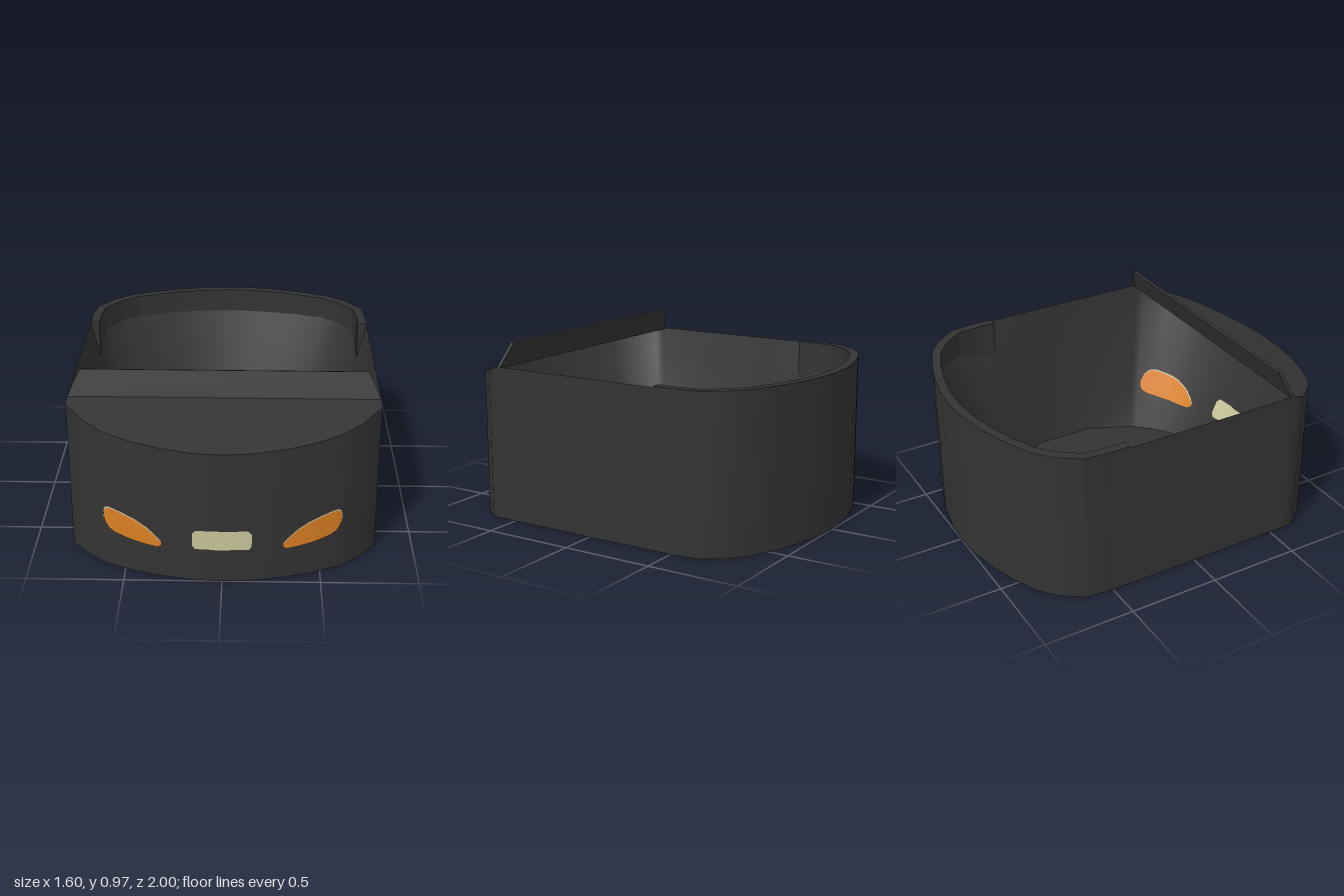
import * as THREE from 'three';

const mat = (name, color) => {
  const m = new THREE.MeshStandardMaterial({ color, side: THREE.DoubleSide });
  m.name = name;
  return m;
};

// Half plan outline [x, z], from front centre round to back centre
const HALF = [
  [0, 1], [0.15, 0.99], [0.32, 0.955], [0.46, 0.91], [0.6, 0.845], [0.7, 0.765], [0.8, 0.65],
  [0.8, 0.59], [0.8, 0.2], [0.8, -0.2], [0.8, -0.4], [0.8, -0.52],
  [0.785, -0.65], [0.7, -0.77], [0.6, -0.85], [0.46, -0.91], [0.32, -0.955], [0.15, -0.99], [0, -1],
];
const LOOP = [...HALF, ...HALF.slice(1, -1).reverse().map(([x, z]) => [-x, z])];

const rimY = (z) => (z > 0.59 ? 0.835 - (z - 0.59) * 0.268 : 0.838);
const FLOOR_Y = 0.004, FLOOR_R = 0.68;

// Skin a list of rows of [x, y, z] points
function loft(rows, closed) {
  const n = rows[0].length, index = [];
  for (let r = 0; r < rows.length - 1; r++) {
    for (let i = 0; i < (closed ? n : n - 1); i++) {
      const a = r * n + i, b = r * n + (i + 1) % n;
      index.push(a, b, b + n, a, b + n, a + n);
    }
  }
  const g = new THREE.BufferGeometry();
  g.setAttribute('position', new THREE.Float32BufferAttribute(rows.flat(2), 3));
  g.setIndex(index);
  g.computeVertexNormals();
  return g;
}

// Point on the sloping inner wall at fraction t of its height
function innerPoint([x, z], t) {
  const k = THREE.MathUtils.lerp(FLOOR_R / Math.hypot(x, z), 1, t);
  return [x * k, THREE.MathUtils.lerp(FLOOR_Y, rimY(z), t), z * k];
}

// Depth of the front wall at x, y (outer or inner skin)
function frontZ(x, y, inner) {
  const pts = HALF.slice(0, 9).map((p) => {
    if (!inner) return p;
    const q = innerPoint(p, (y - FLOOR_Y) / (rimY(p[1]) - FLOOR_Y));
    return [q[0], q[2]];
  });
  const ax = Math.abs(x);
  let i = 1;
  while (i < pts.length - 1 && pts[i][0] < ax) i++;
  const [a, b] = [pts[i - 1], pts[i]];
  return a[1] + (b[1] - a[1]) * (ax - a[0]) / (b[0] - a[0]);
}

// Thin panel following the front wall; columns are [x, low y, high y]
function wallPanel(columns, inner, offset) {
  const fine = [];
  for (let i = 0; i < columns.length - 1; i++) {
    for (let k = 0; k < 3; k++) {
      fine.push(columns[i].map((v, j) => THREE.MathUtils.lerp(v, columns[i + 1][j], k / 3)));
    }
  }
  fine.push(columns[columns.length - 1]);
  const rows = [];
  for (let r = 0; r <= 4; r++) {
    rows.push(fine.map(([x, lo, hi]) => {
      const y = THREE.MathUtils.lerp(lo, hi, r / 4);
      return [x, y, frontZ(x, y, inner) + offset];
    }));
  }
  if (inner) rows.reverse();
  return loft(rows, false);
}

export function createModel() {
  const group = new THREE.Group();
  const body = mat('charcoal body', 0x333333);
  const amber = mat('amber light', 0xd97f22);
  const cream = mat('cream plate', 0xc8c49a);
  const add = (name, geometry, material) => {
    const m = new THREE.Mesh(geometry, material);
    m.name = name;
    group.add(m);
    return m;
  };

  // Outer shell and underside
  const bottom = LOOP.map(([x, z]) => [x, 0, z]);
  add('outerWall', loft([bottom, LOOP.map(([x, z]) => [x, rimY(z), z])], true), body);
  add('underside', loft([LOOP.map(() => [0, 0, 0]), bottom], true), body);

  // Inner tub, narrowing to a round floor
  const rings = [];
  for (let r = 6; r >= 0; r--) rings.push(LOOP.map((p) => innerPoint(p, r / 6)));
  add('innerWall', loft(rings, true), body);
  add('floor', loft([rings[6], LOOP.map(() => [0, FLOOR_Y, 0])], true), body);

  // Sloping hood
  const nose = [...HALF.slice(1, 8).reverse().map(([x, z]) => [-x, z]), ...HALF.slice(0, 8)];
  add('hood', loft([
    nose.map(([x, z]) => [x, rimY(z), z]),
    nose.map(([x]) => [x, 0.837, 0.59]),
  ], false), body);

  // Thick lining round the rear of the cockpit
  const rear = HALF.slice(10);
  const arc = [...rear, ...rear.slice(0, -1).reverse().map(([x, z]) => [-x, z])];
  const inset = arc.map(([x, z]) => [x * 0.9375, -0.4 + (z + 0.4) * 0.917]).reverse();
  const liningShape = new THREE.Shape([...arc, ...inset].map(([x, z]) => new THREE.Vector2(x, -z)));
  const lining = new THREE.ExtrudeGeometry(liningShape, { depth: 0.345, bevelEnabled: false });
  lining.rotateX(-Math.PI / 2).translate(0, 0.5, 0);
  add('rearLining', lining, body);

  // Raked windscreen
  const screenShape = new THREE.Shape([[-0.8, 0], [0.8, 0], [0.735, 0.141], [-0.735, 0.141]]
    .map(([x, y]) => new THREE.Vector2(x, y)));
  const screen = new THREE.ExtrudeGeometry(screenShape, { depth: 0.016, bevelEnabled: false });
  screen.translate(0, 0, -0.016).rotateX(-0.34).translate(0, 0.836, 0.592);
  add('windscreen', screen, body);

  // Lights and number plate, showing on both skins of the nose
  const light = [
    [0.305, 0.19, 0.2], [0.325, 0.175, 0.225], [0.38, 0.178, 0.272], [0.44, 0.186, 0.306],
    [0.5, 0.196, 0.325], [0.55, 0.208, 0.337], [0.58, 0.225, 0.342], [0.597, 0.25, 0.335], [0.606, 0.28, 0.31],
  ];
  const plate = [[-0.152, 0.205, 0.275], [-0.135, 0.185, 0.295], [0.135, 0.185, 0.295], [0.152, 0.205, 0.275]];
  for (const inner of [false, true]) {
    const dir = inner ? -1 : 1, side = inner ? 'inner' : 'outer';
    add(side + 'Plate', wallPanel(plate, inner, dir * 0.006), cream);
    for (const s of [1, -1]) {
      const place = (dx, dy) => {
        const c = light.map(([x, lo, hi]) => [s * (x + dx), lo + dy / 2, hi + dy]);
        return s > 0 ? c : c.reverse();
      };
      const label = side + (s > 0 ? 'Left' : 'Right');
      add(label + 'LightTrim', wallPanel(place(0.002, 0.005), inner, dir * 0.004), cream);
      add(label + 'Light', wallPanel(place(0, 0), inner, dir * 0.008), amber);
    }
  }
  return group;
}
